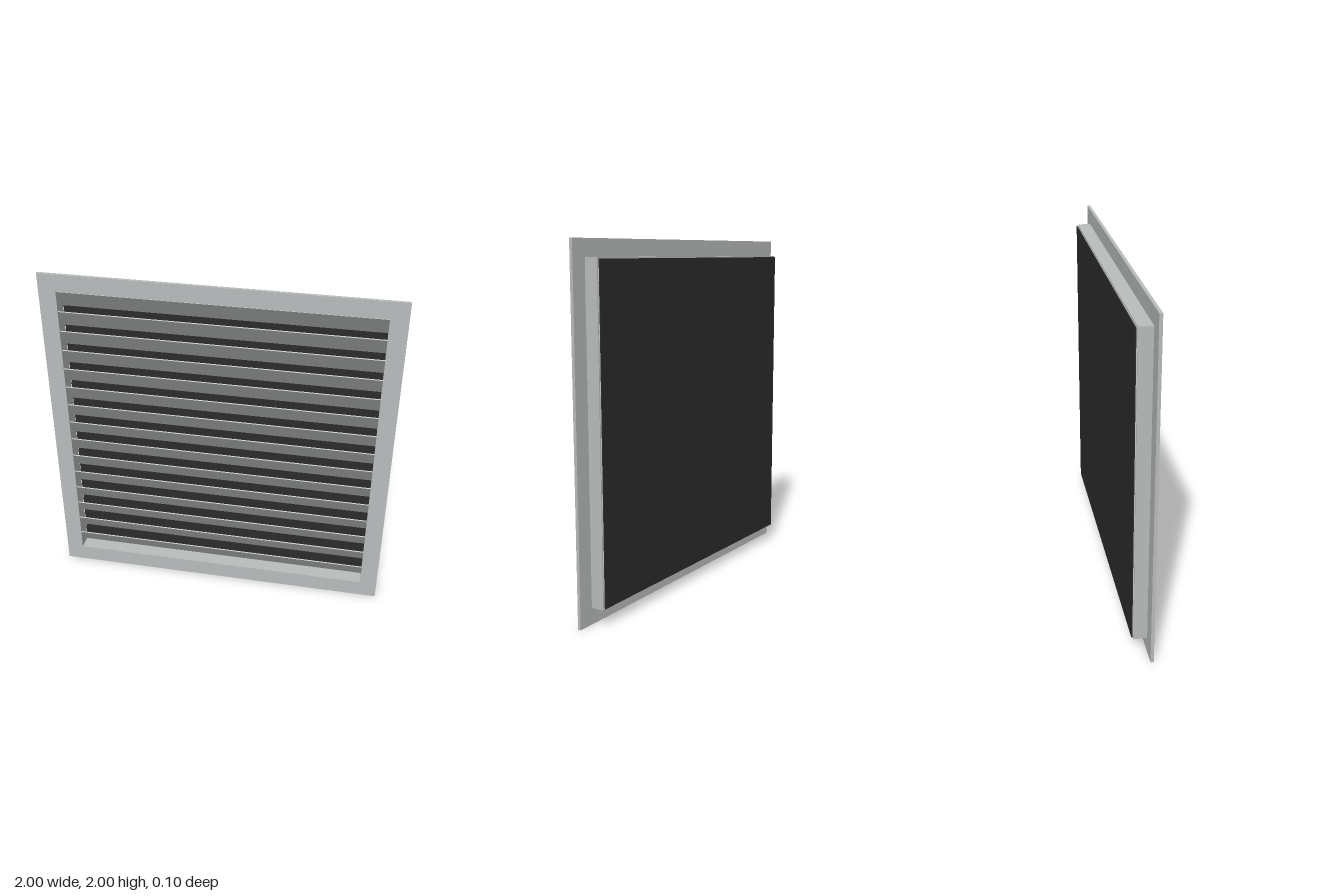
import * as THREE from 'three';

const OPENING = 0.9; // half size of the square opening
const MID_Y = 1;

// Square ring of the given outer half size around the opening, from z0 to z1
function squareRing(half, z0, z1) {
  const square = (Type, h) => {
    const path = new Type();
    path.moveTo(-h, -h);
    path.lineTo(h, -h);
    path.lineTo(h, h);
    path.lineTo(-h, h);
    path.closePath();
    return path;
  };
  const shape = square(THREE.Shape, half);
  shape.holes.push(square(THREE.Path, OPENING));
  const geometry = new THREE.ExtrudeGeometry(shape, { depth: z1 - z0, bevelEnabled: false });
  return geometry.translate(0, MID_Y, z0);
}

export function createModel() {
  const grey = new THREE.MeshStandardMaterial({ color: 0xb9bdbc });
  grey.name = 'light grey metal';
  const black = new THREE.MeshStandardMaterial({ color: 0x2b2b2b });
  black.name = 'black screen';

  const model = new THREE.Group();
  model.name = 'louvredVent';
  const add = (name, geometry, material, parent = model) => {
    const mesh = new THREE.Mesh(geometry, material);
    mesh.name = name;
    parent.add(mesh);
    return mesh;
  };

  // Flat front flange and the shallow sleeve behind it
  add('frontFlange', squareRing(1, 0.034, 0.052), grey);
  add('sleeve', squareRing(0.907, -0.042, 0.034), grey);

  // Sloping slats, top edge forward
  const slats = new THREE.Group();
  slats.name = 'slats';
  model.add(slats);
  const count = 15;
  const pitch = (2 * OPENING) / count;
  const slatGeometry = new THREE.BoxGeometry(2 * OPENING, 0.142, 0.006);
  for (let i = 0; i < count; i++) {
    const slat = add(`slat${i + 1}`, slatGeometry, grey, slats);
    slat.position.set(0, MID_Y - OPENING + (i + 0.5) * pitch, 0.004);
    slat.rotation.x = Math.atan2(0.085, pitch);
  }

  // Thin screen set just behind the sleeve
  const screen = add('rearScreen', new THREE.BoxGeometry(2 * OPENING, 2 * OPENING, 0.005), black);
  screen.position.set(0, MID_Y, -0.0495);

  return model;
}
